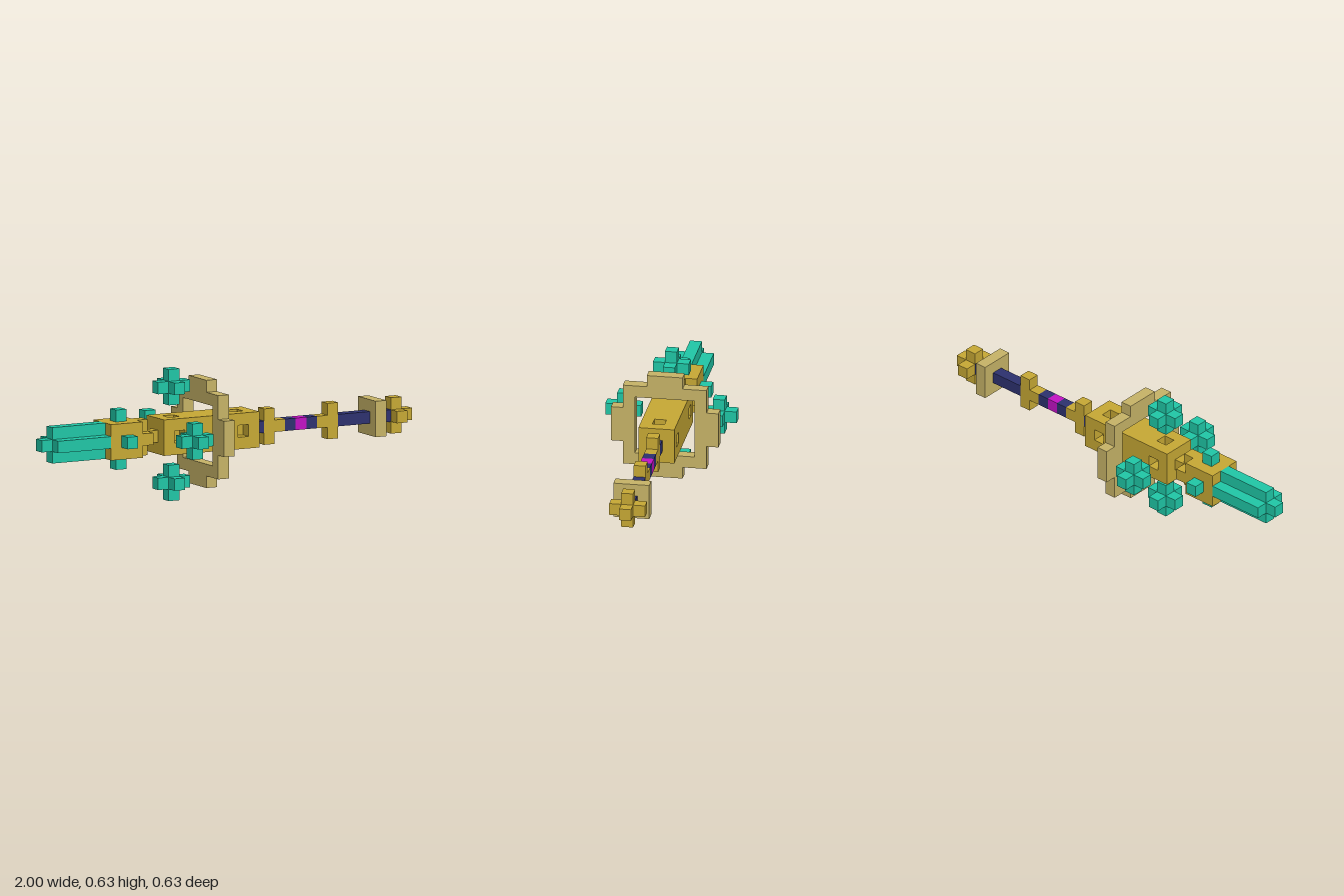
import * as THREE from 'three';

// The model sits on a cubic grid: 35 cells long, 11 cells tall
const U = 2 / 35;
const MID = 5.5 * U;

function material(name, color) {
  const m = new THREE.MeshStandardMaterial({ color });
  m.name = name;
  return m;
}

export function createModel() {
  const model = new THREE.Group();
  model.name = 'staff';
  const teal = material('teal', 0x20c9a8);
  const gold = material('gold', 0xc8aa35);
  const tan = material('tan', 0xc8b568);
  const navy = material('navy', 0x2e3270);
  const magenta = material('magenta', 0xc412c6);

  // Box over cells x0..x1, h by d cells, offset (y, z) cells from the axis
  function box(name, mat, x0, x1, h = 1, d = 1, y = 0, z = 0) {
    const n = x1 - x0 + 1;
    const mesh = new THREE.Mesh(new THREE.BoxGeometry(n * U, h * U, d * U), mat);
    mesh.position.set(-1 + (x0 + n / 2) * U, MID + y * U, z * U);
    mesh.name = name;
    model.add(mesh);
  }

  // Bar with a plus-shaped cross-section
  function plusBar(name, mat, x0, x1, y = 0, z = 0) {
    box(name, mat, x0, x1, 3, 1, y, z);
    for (const s of [-1, 1]) box(name, mat, x0, x1, 1, 1, y, z + s);
  }

  // Slice of the body with a one-cell socket in each of its four sides
  function socketSlice(name, x) {
    box(name, gold, x, x);
    for (const y of [-1, 1]) for (const z of [-1, 1]) box(name, gold, x, x, 1, 1, y, z);
  }

  // Crystal head
  box('crystalTip', teal, 0, 0);
  plusBar('crystal', teal, 1, 5);

  // Collar with four protruding gems
  box('collar', gold, 6, 8, 3, 3);
  plusBar('collarStep', gold, 9, 9);
  for (const s of [-1, 1]) {
    box('collarGem', teal, 7, 7, 1, 1, s * 1.5, 0);
    box('collarGem', teal, 7, 7, 1, 1, 0, s * 1.5);
  }
  for (const s of [-1, 1]) {
    box('collarGemTip', teal, 7, 7, 1, 1, s * 2, 0);
    box('collarGemTip', teal, 7, 7, 1, 1, 0, s * 2);
  }
  box('neck', gold, 10, 10);

  // Socketed body
  box('body', gold, 11, 11, 3, 3);
  socketSlice('bodySocket', 12);
  box('body', gold, 13, 17, 3, 3);
  socketSlice('bodySocket', 18);
  box('body', gold, 19, 19, 3, 3);

  // Four floating crystals around the body
  for (const [y, z] of [[4, 0], [-4, 0], [0, 4], [0, -4]]) {
    plusBar('floatingCrystal', teal, 12, 12, y, z);
    box('floatingCrystal', teal, 11, 11, 1, 1, y, z);
    box('floatingCrystal', teal, 13, 13, 1, 1, y, z);
  }

  // Floating ring with a raised block on each side
  for (const s of [-1, 1]) {
    box('ringRail', tan, 15, 15, 1, 7, s * 3, 0);
    box('ringPost', tan, 15, 15, 5, 1, 0, s * 3);
    box('ringBlock', tan, 15, 15, 1, 3, s * 4, 0);
    box('ringBlock', tan, 15, 15, 3, 1, 0, s * 4);
  }

  // Handle
  box('handle', navy, 20, 20);
  box('crossBar', gold, 21, 21, 3, 1);
  box('handleBand', gold, 22, 22);
  box('handle', navy, 23, 23);
  box('handleGem', magenta, 24, 24);
  box('handle', navy, 25, 25);
  box('handleBand', gold, 26, 26);
  box('crossBar', gold, 27, 27, 3, 1);
  box('handle', navy, 28, 30);

  // Pommel
  box('pommelPlate', tan, 31, 31, 3, 3);
  box('handle', navy, 32, 32);
  plusBar('pommel', gold, 33, 33);
  box('pommelTip', gold, 34, 34);

  return model;
}
